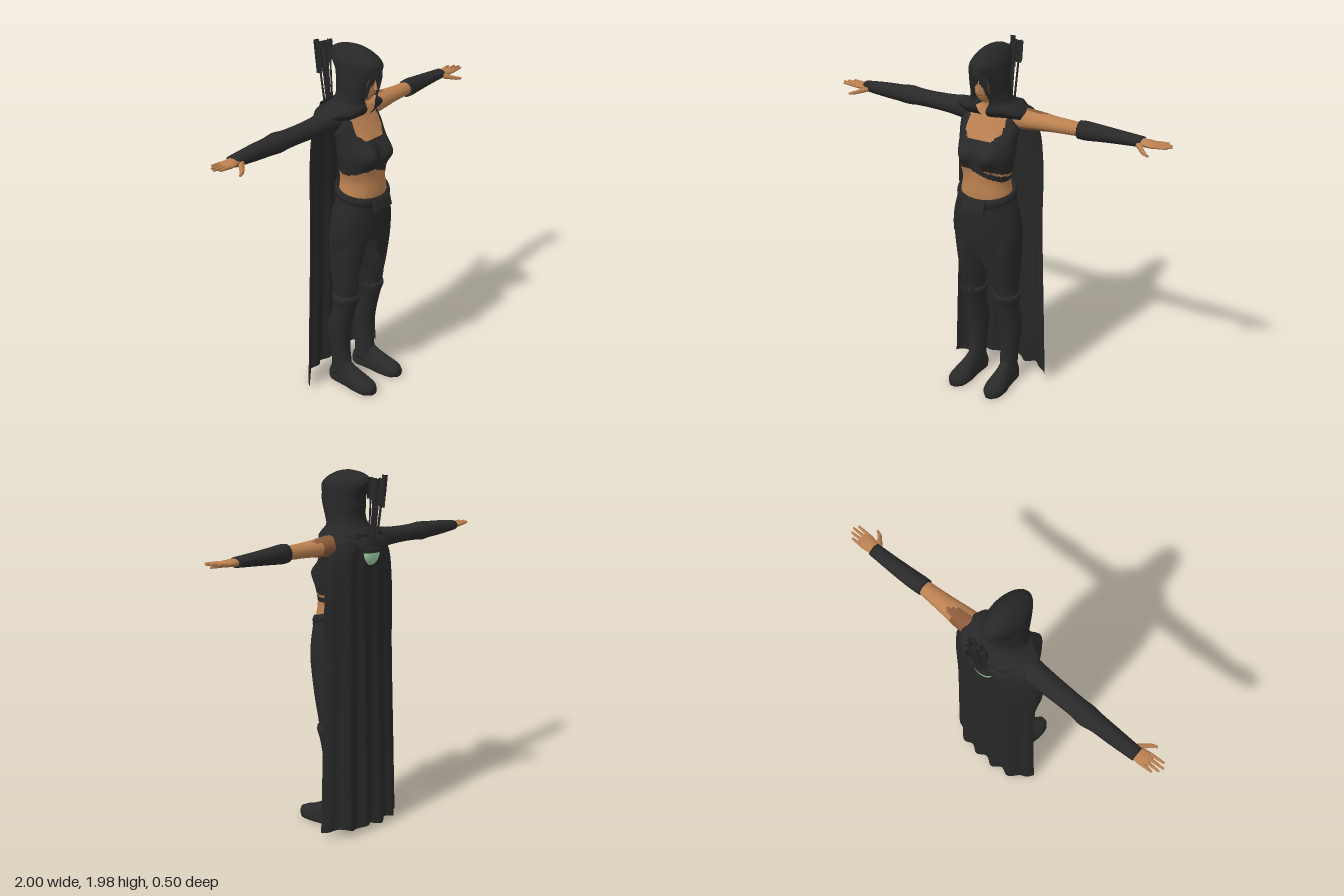
import * as THREE from 'three';

const mat = (name, color, side = THREE.FrontSide) => {
  const m = new THREE.MeshStandardMaterial({ color, side });
  m.name = name;
  return m;
};

// Surface through a rule fn(u, v); rule(x, y, z) picks the material of each face
function grid(nu, nv, closed, fn, rule) {
  const pos = [], lists = [[], [], []], cols = closed ? nu : nu + 1;
  for (let j = 0; j <= nv; j++) for (let i = 0; i < cols; i++) pos.push(...fn(i / nu, j / nv, j));
  const mid = (ids, k) => ids.reduce((s, q) => s + pos[q * 3 + k], 0) / 4;
  for (let j = 0; j < nv; j++) for (let i = 0; i < nu; i++) {
    const k = (i + 1) % cols;
    const a = j * cols + i, b = j * cols + k, c = b + cols, d = a + cols, q = [a, b, c, d];
    lists[rule ? rule(mid(q, 0), mid(q, 1), mid(q, 2)) : 0].push(a, b, c, a, c, d);
  }
  const g = new THREE.BufferGeometry();
  g.setAttribute('position', new THREE.Float32BufferAttribute(pos, 3));
  g.setIndex(lists.flat());
  if (rule) {
    let start = 0;
    lists.forEach((l, m) => { if (l.length) g.addGroup(start, l.length, m); start += l.length; });
  }
  g.computeVertexNormals();
  return g;
}

// Smooth lookup in a table whose first column is the key
function table(rows) {
  const n = rows[0].length - 1;
  const it = new THREE.CubicInterpolant(rows.map(r => r[0]), rows.flatMap(r => r.slice(1)), n, new Array(n));
  return t => Array.from(it.evaluate(t));
}

// Capped loft of ellipses along y; rows are [y, centreX, centreZ, radiusX, radiusZ]
function loft(rows, nu, nv, { rule, shape } = {}) {
  const at = table(rows), y0 = rows[0][0], y1 = rows[rows.length - 1][0];
  return grid(nu, nv + 2, true, (u, v, j) => {
    const t = Math.min(1, Math.max(0, (j - 1) / nv)), y = y0 + (y1 - y0) * t;
    const [cx, cz, rx, rz] = at(y), k = j === 0 || j === nv + 2 ? 0 : 1, a = u * Math.PI * 2;
    const p = [cx + k * rx * Math.sin(a), y, cz + k * rz * Math.cos(a)];
    return shape ? shape(p, cz) : p;
  }, rule);
}

// Straight tapered rod between two points
function rod(a, b, r0, r1, sides = 8) {
  const A = new THREE.Vector3(...a), d = new THREE.Vector3(...b).sub(A);
  const g = new THREE.CylinderGeometry(r1, r0, d.length(), sides);
  g.applyQuaternion(new THREE.Quaternion().setFromUnitVectors(new THREE.Vector3(0, 1, 0), d.clone().normalize()));
  return g.translate(...A.addScaledVector(d, 0.5).toArray());
}

export function createModel() {
  const cloth = mat('black cloth', 0x29292a), drape = mat('black drape', 0x272728, THREE.DoubleSide);
  const skin = mat('skin', 0xba8050), shade = mat('dark skin', 0x8a5a3a), green = mat('pale green', 0x9ccfa6);
  const root = new THREE.Group();
  const add = (name, geo, m, parent = root) => {
    const mesh = new THREE.Mesh(geo, m);
    mesh.name = name;
    parent.add(mesh);
    return mesh;
  };
  let seed = 7;
  const rnd = () => (seed = (seed * 16807) % 2147483647) / 2147483647;

  // Torso with bodice, neckline and diagonal strap as face colours
  const bodice = (x, y, z) => {
    if (y < 1.35 - 1.5 * x * x) return x > -0.04 && Math.abs(y - (1.345 - 0.4 * x)) < 0.017 ? 1 : 0;
    if (y < 1.5 + Math.max(0, Math.abs(x) - 0.07)) return 1;
    if (x < -0.1 || (z < 0 && y < 1.6 && x < 0.12)) return 1;
    return z > 0 && x > 0.115 && x < 0.155 ? 1 : 0;
  };
  const bust = ([x, y, z], cz) => [x, y, z > cz
    ? z + 0.05 * Math.exp(-(((Math.abs(x) - 0.075) / 0.055) ** 2) - ((y - 1.42) / 0.06) ** 2) : z];
  add('torso', loft([
    [1.1, 0, 0.06, 0.17, 0.115], [1.2, 0, 0.065, 0.145, 0.115], [1.27, 0, 0.065, 0.135, 0.11],
    [1.33, 0, 0.065, 0.147, 0.11], [1.42, 0, 0.06, 0.162, 0.11], [1.5, 0, 0.045, 0.165, 0.1],
    [1.56, 0, 0.025, 0.17, 0.085], [1.62, 0, 0.01, 0.14, 0.066], [1.66, 0, 0.012, 0.06, 0.052],
    [1.72, 0, 0.025, 0.042, 0.045], [1.78, 0, 0.03, 0.042, 0.045]], 96, 100,
  { rule: bodice, shape: bust }), [skin, cloth]);

  // Head, face details and loose hair
  const head = add('head', new THREE.SphereGeometry(1, 32, 24), skin);
  head.scale.set(0.063, 0.105, 0.085);
  head.position.set(0, 1.79, 0.06);
  const nose = add('nose', new THREE.ConeGeometry(0.011, 0.045, 8), skin);
  nose.position.set(0, 1.79, 0.148);
  const lips = add('lips', new THREE.SphereGeometry(1, 12, 8), shade);
  lips.scale.set(0.018, 0.006, 0.006);
  lips.position.set(0, 1.745, 0.137);
  for (const s of [-1, 1]) {
    const eye = add('eye', new THREE.SphereGeometry(1, 12, 8), cloth);
    eye.scale.set(0.013, 0.007, 0.005);
    eye.position.set(s * 0.024, 1.812, 0.136);
  }
  for (let i = 0; i < 13; i++) {
    const x = -0.048 + i * 0.008, low = 1.83 - Math.abs(x) * 2.2 - 0.02 * rnd();
    const path = new THREE.CatmullRomCurve3([new THREE.Vector3(x * 0.5, 1.885, 0.13),
      new THREE.Vector3(x * 0.95, 1.85, 0.15), new THREE.Vector3(x * 1.05, low, 0.145 - Math.abs(x) * 0.6)]);
    add('hairStrand', new THREE.TubeGeometry(path, 8, 0.0045, 5), cloth);
  }

  // Hood flowing into the shoulder mantle: [y, radiusX, frontZ, backZ, half opening]
  const hood = table([
    [1.59, 0.222, 0.09, -0.185, 0.02], [1.63, 0.212, 0.115, -0.17, 0.024], [1.66, 0.17, 0.12, -0.13, 0.03],
    [1.69, 0.122, 0.12, -0.1, 0.04], [1.73, 0.107, 0.13, -0.085, 0.048], [1.79, 0.101, 0.152, -0.09, 0.054],
    [1.85, 0.095, 0.17, -0.1, 0.043], [1.88, 0.09, 0.18, -0.12, 0.012], [1.9, 0.086, 0.18, -0.132, 0],
    [1.93, 0.072, 0.155, -0.138, 0], [1.96, 0.048, 0.1, -0.11, 0], [1.975, 0.024, 0.05, -0.06, 0],
    [1.982, 0, 0, 0, 0]]);
  add('hood', grid(72, 70, false, (u, v) => {
    const y = 1.59 + 0.392 * v, [rx, f, b, gap] = hood(y), flare = Math.max(0, 1 - v * 4);
    const g = Math.asin(Math.min(1, Math.max(0, gap) / Math.max(rx, 0.02)));
    const a = g + u * (Math.PI * 2 - 2 * g), k = 1 + 0.04 * flare * Math.sin(a * 9);
    const front = 0.5 + 0.5 * Math.cos(a);
    return [Math.max(0, rx) * k * Math.sin(a), y + 0.03 * flare * front, (f + b) / 2 + (f - b) / 2 * k * Math.cos(a)];
  }), drape);

  // Cape with hanging folds
  const capeWidth = table([[0, 0.305], [0.4, 0.29], [1, 0.268], [1.4, 0.262], [1.55, 0.235], [1.66, 0.16]]);
  add('cape', grid(90, 40, false, (u, v) => {
    const s = u * 2 - 1, y = 1.66 * (1 - v) + v * (0.025 + 0.018 * s + 0.008 * Math.sin(s * 11));
    const centre = -0.155 - 0.028 * v, fold = (0.003 + 0.012 * v) * Math.cos(s * 16);
    return [s * capeWidth(y)[0], y, centre + (-0.072 - centre) * Math.abs(s) ** 3.5 + fold * (1 - s ** 6)];
  }), drape);

  // Quiver mouth and arrows
  const pouch = add('quiver', new THREE.SphereGeometry(1, 24, 12, 0, Math.PI * 2, Math.PI / 2, Math.PI / 2), green);
  pouch.scale.set(0.06, 0.07, 0.04);
  pouch.position.set(0, 1.56, -0.152);
  const mouth = add('quiverMouth', new THREE.CylinderGeometry(1, 0.95, 0.02, 24), cloth);
  mouth.scale.set(0.058, 1, 0.039);
  mouth.position.set(0, 1.57, -0.152);
  for (let i = 0; i < 11; i++) {
    const a = i * 2.4, r = Math.sqrt(i / 10), x = r * Math.cos(a), z = r * Math.sin(a);
    const top = [0.055 * x, 1.9 + 0.07 * rnd(), -0.208 + 0.032 * z];
    const base = [0.03 * x, 1.55, -0.165 + 0.015 * z];
    add('arrowShaft', rod(base, top, 0.005, 0.005, 6), cloth);
    for (let k = 0; k < 3; k++) {
      const vane = new THREE.BoxGeometry(0.016, 0.11, 0.002).translate(0.008, -0.055, 0).rotateY(k * 2.094 + i);
      vane.rotateX(-0.11).translate(...top);
      add('fletching', vane, cloth);
    }
  }

  // Arms lie along x, built along y and turned
  const arm = (name, rows, s, m, rule) => {
    const g = loft(rows, 24, 36, { rule });
    add(name, g.rotateZ(-s * Math.PI / 2), m).position.y = 1.6;
  };
  const shoulderPatch = (x, y, z) => y < 0.3 + 0.025 * Math.sin(z * 90) && (z < -0.015 || x > 0.025) ? 1 : 0;
  arm('leftArm', [[0.09, 0, -0.01, 0.045, 0.055], [0.17, 0, -0.025, 0.056, 0.064], [0.25, 0, -0.03, 0.05, 0.062],
    [0.35, 0, -0.03, 0.041, 0.052], [0.52, 0, -0.03, 0.035, 0.038]], 1, [skin, shade], shoulderPatch);
  arm('leftGlove', [[0.495, 0, -0.028, 0.048, 0.046], [0.53, 0, -0.03, 0.05, 0.047], [0.6, 0, -0.033, 0.044, 0.046],
    [0.7, 0, -0.035, 0.036, 0.042], [0.84, 0, -0.035, 0.026, 0.037]], 1, cloth);
  arm('rightSleeve', [[0.09, 0, -0.01, 0.05, 0.058], [0.17, 0, -0.025, 0.061, 0.066], [0.28, 0, -0.028, 0.05, 0.06],
    [0.4, 0, -0.03, 0.045, 0.055], [0.5, 0, -0.033, 0.047, 0.054], [0.55, 0, -0.036, 0.052, 0.058],
    [0.61, 0, -0.034, 0.047, 0.05], [0.72, 0, -0.035, 0.041, 0.045], [0.86, 0, -0.035, 0.028, 0.038]], -1, cloth);

  // Hands with fingers and thumb
  for (const s of [1, -1]) {
    const hand = new THREE.Group();
    hand.name = s > 0 ? 'leftHand' : 'rightHand';
    hand.scale.x = s;
    root.add(hand);
    const palm = loft([[0.8, 0, -0.034, 0.02, 0.028], [0.85, 0, -0.03, 0.019, 0.036], [0.9, 0, -0.027, 0.015, 0.043],
      [0.93, 0, -0.027, 0.01, 0.04]], 16, 12).rotateZ(-Math.PI / 2);
    add('palm', palm, skin, hand).position.y = 1.6;
    [0.965, 0.99, 1, 0.985].forEach((tip, i) => {
      const z = -0.059 + i * 0.022;
      add('finger', rod([0.91, 1.602, z], [tip, 1.608, z * 1.1 + 0.003], 0.01, 0.006), skin, hand);
    });
    add('thumb', rod([0.83, 1.592, -0.005], [0.88, 1.578, 0.05], 0.016, 0.011), skin, hand);
    add('thumbTip', rod([0.88, 1.578, 0.05], [0.91, 1.572, 0.066], 0.011, 0.006), skin, hand);
  }

  // Wrap skirt with a slanting hem
  const hips = table([[0.74, 0.05, 0.185, 0.115], [0.85, 0.05, 0.197, 0.122], [0.95, 0.055, 0.207, 0.13],
    [1.05, 0.06, 0.198, 0.128], [1.15, 0.063, 0.172, 0.125], [1.25, 0.065, 0.15, 0.118]]);
  const hem = new THREE.LinearInterpolant([0, 0.27, 1.57, 3.14, 4.7, 5.38, 6.1, 6.284],
    [0.86, 0.77, 0.92, 0.95, 0.88, 0.95, 0.94, 0.86], 1, new Array(1));
  add('skirt', grid(96, 24, true, (u, v) => {
    const a = u * Math.PI * 2, lo = hem.evaluate(a)[0], y = lo + (1.205 - 0.035 * Math.cos(a) - lo) * v;
    const [cz, rx, rz] = hips(y);
    return [rx * Math.sin(a), y, cz + rz * Math.cos(a)];
  }), drape);

  // Belt and buckle pouch
  const beltTube = grid(64, 10, true, (u, v) => {
    const a = u * Math.PI * 2, b = v * Math.PI * 2, k = 0.013 * Math.cos(b);
    return [(0.158 + k) * Math.sin(a), 1.19 - 0.035 * Math.cos(a) + 0.028 * Math.sin(b), 0.064 + (0.121 + k) * Math.cos(a)];
  });
  add('belt', beltTube, drape);
  const buckle = add('buckle', new THREE.BoxGeometry(0.13, 0.06, 0.025), cloth);
  buckle.position.set(0, 1.145, 0.196);
  buckle.rotation.x = -0.25;

  // Fringe strands
  for (let i = 0; i < 26; i++) {
    const right = i < 20, x = right ? -0.18 + i * 0.0072 : 0.0 + (i - 20) * 0.02;
    const top = right ? 0.96 : 0.83, low = right ? 0.52 + 0.2 * rnd() + (i < 4 ? 0.15 : 0) : 0.63 + 0.1 * rnd();
    const z = 0.045 + 0.13 * Math.sqrt(1 - (x / 0.21) ** 2) - 0.008;
    add('fringe', rod([x, low, z - 0.02], [x, top, z], 0.0025, 0.0045, 5), cloth);
  }

  // Legs, boots and feet
  for (const s of [-1, 1]) {
    const side = s > 0 ? 'left' : 'right';
    add(side + 'Leg', loft([[0.53, s * 0.106, 0.032, 0.064, 0.066], [0.62, s * 0.106, 0.035, 0.068, 0.076],
      [0.7, s * 0.104, 0.038, 0.078, 0.09], [0.8, s * 0.102, 0.043, 0.088, 0.102],
      [0.95, s * 0.1, 0.05, 0.095, 0.112], [1.1, s * 0.085, 0.055, 0.085, 0.11]], 28, 24), cloth);
    add(side + 'Boot', loft([[0.05, s * 0.106, -0.002, 0.05, 0.055], [0.12, s * 0.106, 0.002, 0.048, 0.062],
      [0.2, s * 0.107, -0.005, 0.051, 0.06], [0.35, s * 0.11, -0.008, 0.066, 0.07],
      [0.48, s * 0.108, 0.022, 0.066, 0.068], [0.53, s * 0.107, 0.032, 0.071, 0.072],
      [0.56, s * 0.107, 0.035, 0.078, 0.08], [0.585, s * 0.107, 0.036, 0.073, 0.076]], 28, 36), cloth);
    // Foot lofted heel to toe, flattened on the ground
    const foot = loft([[-0.068, 0, 0, 0.03, 0.05], [-0.04, 0, 0, 0.044, 0.1], [0.03, 0, 0, 0.048, 0.13],
      [0.09, 0, 0, 0.05, 0.1], [0.16, 0, 0, 0.06, 0.066], [0.22, 0, 0, 0.05, 0.045], [0.25, 0, 0, 0.025, 0.03]], 24, 24,
    { shape: ([x, y, z]) => [x, y, Math.max(z, -0.022)] });
    foot.rotateX(Math.PI / 2).scale(1, -1, 1);
    // Upright again after the flip: restore outward faces
    const idx = foot.index.array;
    for (let i = 0; i < idx.length; i += 3) [idx[i], idx[i + 1]] = [idx[i + 1], idx[i]];
    foot.computeVertexNormals();
    const f = add(side + 'Foot', foot, cloth);
    f.position.set(s * 0.108, 0.022, 0);
    f.rotation.y = s * 0.05;
  }
  return root;
}
